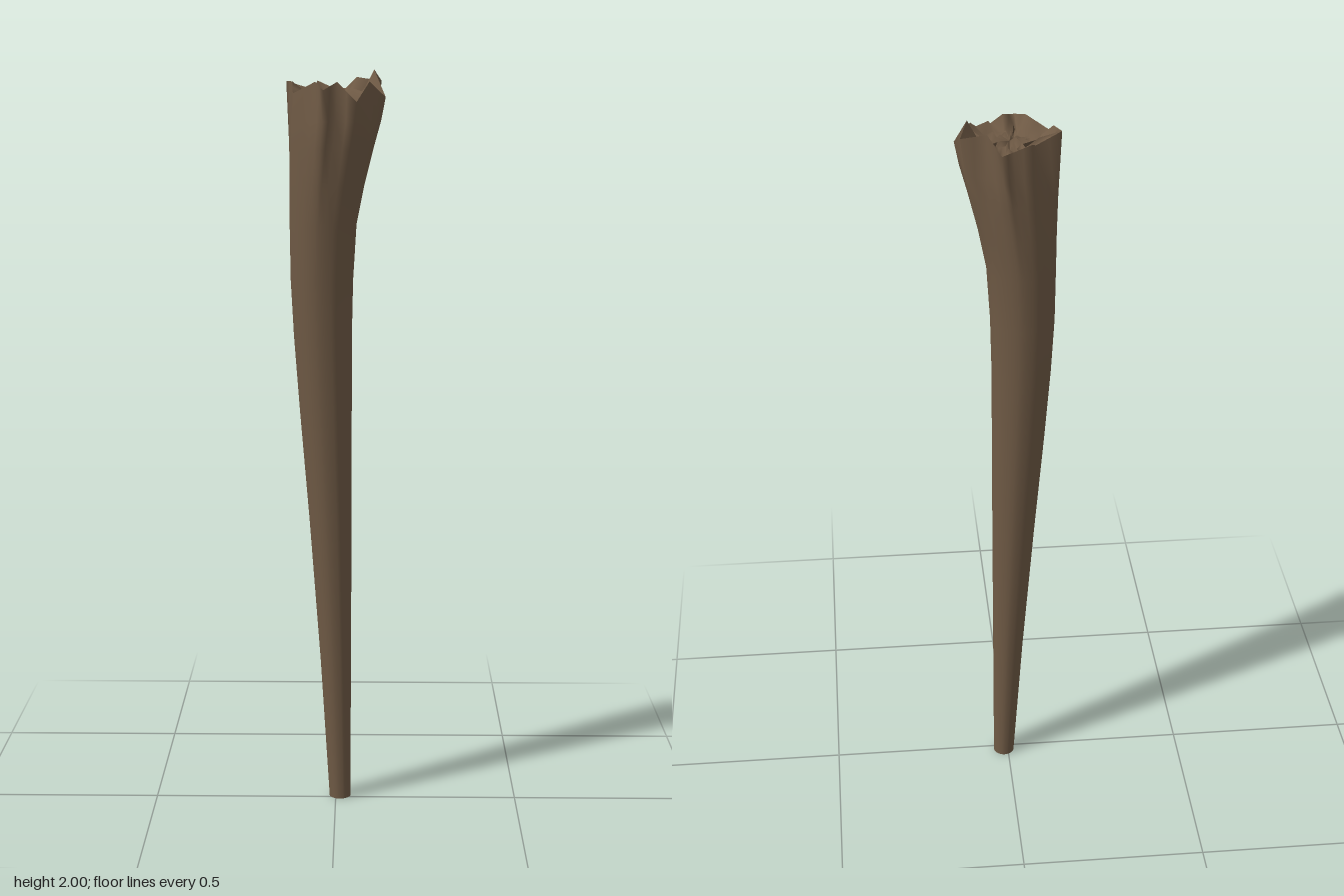
import * as THREE from 'three';

// Broken rim: alternating outer splinter tips and inner points [x, y, z]
const RIM = [
  [0.13, 1.93, 0.015], [0.088, 1.97, 0.035], [0.055, 1.92, 0.105], [0.005, 1.97, 0.08],
  [-0.03, 1.95, 0.128], [-0.052, 1.97, 0.075], [-0.11, 1.94, 0.04], [-0.113, 1.97, 0],
  [-0.13, 1.97, -0.037], [-0.065, 1.94, -0.048], [-0.05, 1.97, -0.113], [-0.005, 1.95, -0.108],
  [0.025, 1.95, -0.132], [0.055, 1.98, -0.068], [0.12, 1.97, -0.063], [0.1, 2.0, -0.022],
];

// Trunk cross-sections: y, x min, x max, z min, z max, share of the rim shape
const LEVELS = [
  [0, -0.017, 0.041, -0.042, 0.015, 0],
  [0.4, -0.042, 0.042, -0.06, 0.026, 0],
  [0.8, -0.072, 0.043, -0.078, 0.038, 0],
  [1.1, -0.097, 0.043, -0.089, 0.05, 0],
  [1.3, -0.112, 0.043, -0.097, 0.059, 0],
  [1.45, -0.12, 0.046, -0.102, 0.067, 0],
  [1.6, -0.122, 0.055, -0.106, 0.078, 0],
  [1.7, -0.123, 0.069, -0.109, 0.086, 0.1],
  [1.8, -0.124, 0.088, -0.113, 0.098, 0.28],
  [1.87, -0.125, 0.105, -0.115, 0.107, 0.55],
];

// Joins closed rings of points into a smooth sheet
function loft(rings) {
  const n = rings[0].length;
  const index = [];
  for (let i = 0; i < rings.length - 1; i++) {
    for (let j = 0; j < n; j++) {
      const k = (j + 1) % n;
      const a = i * n + j, b = i * n + k, c = b + n, d = a + n;
      index.push(a, d, c, a, c, b);
    }
  }
  const geometry = new THREE.BufferGeometry();
  geometry.setAttribute('position', new THREE.Float32BufferAttribute(rings.flat(2), 3));
  geometry.setIndex(index);
  geometry.computeVertexNormals();
  return geometry;
}

export function createModel() {
  const group = new THREE.Group();
  const bark = new THREE.MeshStandardMaterial({ color: 0x6f5a45, side: THREE.DoubleSide });
  bark.name = 'brown wood';
  const add = (name, rings) => {
    const mesh = new THREE.Mesh(loft(rings), bark);
    mesh.name = name;
    group.add(mesh);
  };

  // Rim with a midpoint on every edge
  const rim = RIM.flatMap((p, i) => {
    const q = RIM[(i + 1) % RIM.length];
    return [p, p.map((v, k) => (v + q[k]) / 2)];
  });

  // Tapering, leaning trunk that gathers into ridges below the rim
  const trunk = LEVELS.map(([y, x0, x1, z0, z1, share]) => rim.map(([rx, , rz]) => {
    const t = Math.atan2(rz, rx);
    const x = (x0 + x1) / 2 + Math.cos(t) * (x1 - x0) / 2;
    const z = (z0 + z1) / 2 + Math.sin(t) * (z1 - z0) / 2;
    return [x + (rx - x) * share, y, z + (rz - z) * share];
  }));
  add('trunk', [...trunk, rim]);

  // Rough splintered wood inside the rim
  const cx = -0.005, cz = -0.005;
  const inner = [[0.75, 1.935], [0.5, 1.925], [0.25, 1.93], [0, 1.935]].map(([s, h], i) =>
    rim.map(([x, , z], j) => [
      cx + (x - cx) * s,
      h + (s ? 0.02 * Math.sin(j * 1.9635 + i * 2.1) : 0),
      cz + (z - cz) * s,
    ]));
  add('splinteredTop', [rim, ...inner]);

  // Flat cut at the bottom
  add('bottomCut', [trunk[0].map(() => [0.012, 0, -0.013]), trunk[0]]);
  return group;
}
